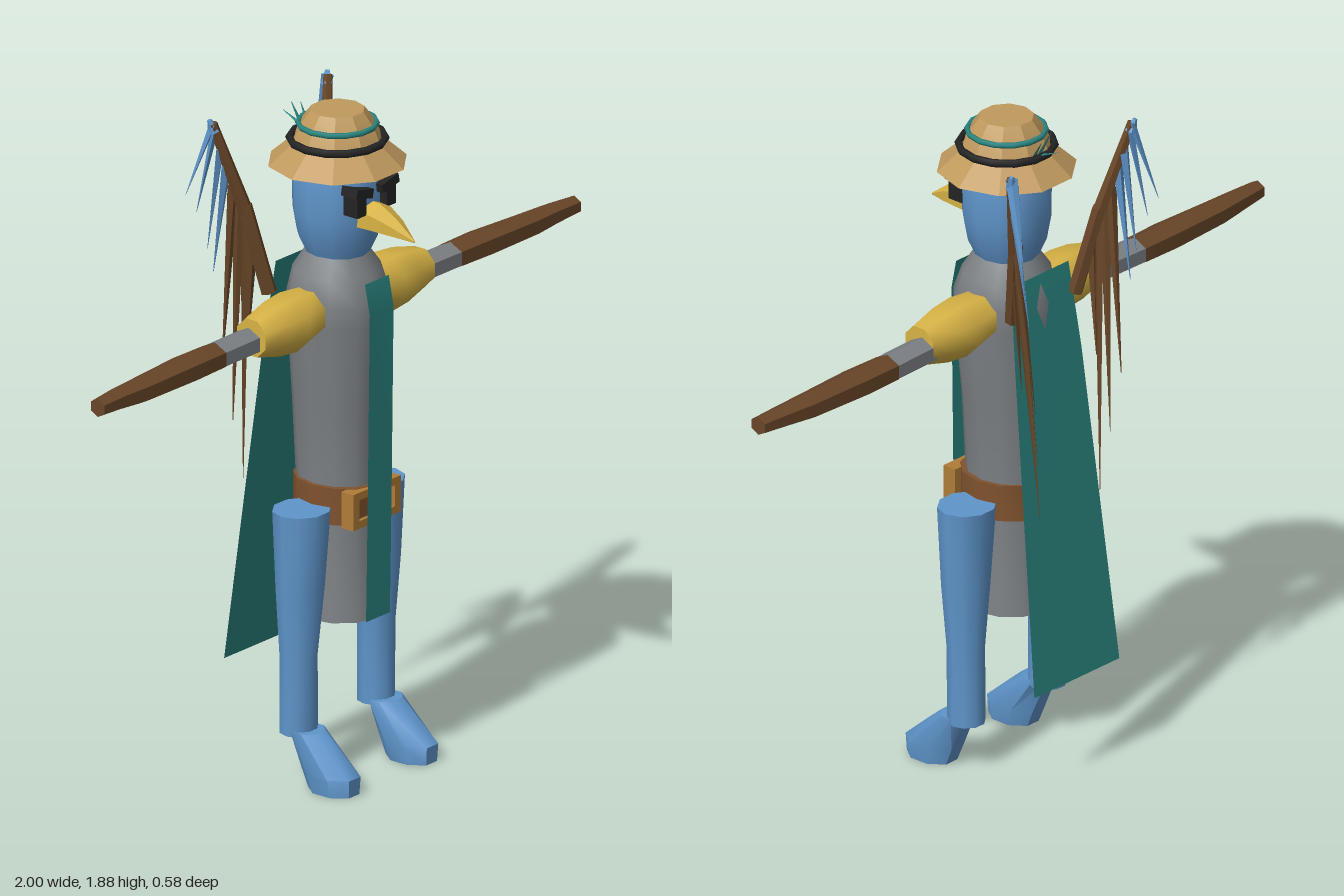
import * as THREE from 'three';
import { toCreasedNormals } from 'three/addons/utils/BufferGeometryUtils.js';

const paint = (name, color, side = THREE.FrontSide) => {
  const m = new THREE.MeshStandardMaterial({ color, side });
  m.name = name;
  return m;
};

// Closed loft of elliptical rings [pos, c1, c2, r1, r2] along y (x, z radii) or along x (y, z radii), s mirrors x
function loft(rings, n, { axis = 'y', s = 1, crease = 0.9, phase = 0 } = {}) {
  const at = (r, j) => {
    const a = phase + (j / n) * Math.PI * 2;
    const p = r[1] + r[3] * Math.cos(a), q = r[2] + r[4] * Math.sin(a);
    return axis === 'y' ? [s * p, r[0], q] : [s * r[0], p, q];
  };
  const mid = (r) => (axis === 'y' ? [s * r[1], r[0], r[2]] : [s * r[0], r[1], r[2]]);
  const flip = (axis === 'x') !== (s < 0);
  const pos = [];
  const tri = (a, b, c) => (flip ? pos.push(...a, ...c, ...b) : pos.push(...a, ...b, ...c));
  const last = rings[rings.length - 1];
  for (let j = 0; j < n; j++) {
    for (let i = 0; i < rings.length - 1; i++) {
      const a = at(rings[i], j), b = at(rings[i], j + 1);
      const c = at(rings[i + 1], j + 1), d = at(rings[i + 1], j);
      tri(a, d, c);
      tri(a, c, b);
    }
    tri(mid(rings[0]), at(rings[0], j), at(rings[0], j + 1));
    tri(mid(last), at(last, j + 1), at(last, j));
  }
  const g = new THREE.BufferGeometry();
  g.setAttribute('position', new THREE.Float32BufferAttribute(pos, 3));
  return toCreasedNormals(g, crease);
}

// Cloth sheet through rows [y, z, halfWidth]
function sheet(rows) {
  const pos = [], idx = [];
  rows.forEach(([y, z, w], i) => {
    pos.push(-w, y, z, w, y, z);
    if (i) idx.push(2 * i - 2, 2 * i, 2 * i + 1, 2 * i - 2, 2 * i + 1, 2 * i - 1);
  });
  const g = new THREE.BufferGeometry();
  g.setAttribute('position', new THREE.Float32BufferAttribute(pos, 3));
  g.setIndex(idx);
  g.computeVertexNormals();
  return g;
}

// Tapered rod or spike between two points
function rod(a, b, r0, r1, sides, flat = 1) {
  const A = new THREE.Vector3(...a), B = new THREE.Vector3(...b);
  const d = B.clone().sub(A);
  const g = new THREE.CylinderGeometry(r1, r0, d.length(), sides).scale(1, 1, flat);
  g.applyQuaternion(new THREE.Quaternion().setFromUnitVectors(new THREE.Vector3(0, 1, 0), d.clone().normalize()));
  g.translate(...A.add(B).multiplyScalar(0.5).toArray());
  return toCreasedNormals(g, 0.3);
}

export function createModel() {
  const blue = paint('blue feathers', 0x5f95cb);
  const gray = paint('gray cloth', 0x7c8084);
  const teal = paint('teal cloth', 0x2a8580, THREE.DoubleSide);
  const yellow = paint('yellow', 0xd8b446);
  const brown = paint('dark brown', 0x684628);
  const leather = paint('belt leather', 0x80522e);
  const tan = paint('straw', 0xc09a5e);
  const black = paint('black', 0x242424);
  const gold = paint('buckle bronze', 0xb07c38);

  const root = new THREE.Group();
  root.name = 'birdWarrior';
  const add = (name, geo, mat, parent = root) => {
    const m = new THREE.Mesh(geo, mat);
    m.name = name;
    parent.add(m);
    return m;
  };
  const group = (name) => {
    const g = new THREE.Group();
    g.name = name;
    root.add(g);
    return g;
  };
  const Z = 0.02;

  // Tunic and head
  add('tunic', loft([
    [0.45, 0, Z, 0.122, 0.135], [0.62, 0, Z, 0.105, 0.125], [0.8, 0, Z, 0.098, 0.12], [1.05, 0, Z, 0.113, 0.13],
    [1.3, 0, 0.025, 0.14, 0.145], [1.36, 0, 0.025, 0.142, 0.143], [1.43, 0, Z, 0.125, 0.122], [1.485, 0, Z, 0.085, 0.088],
  ], 12), gray);
  add('head', loft([
    [1.47, 0, Z, 0.08, 0.085], [1.53, 0, Z, 0.108, 0.112], [1.6, 0, Z, 0.121, 0.124],
    [1.7, 0, Z, 0.122, 0.126], [1.75, 0, Z, 0.112, 0.115],
  ], 12), blue);

  // Beak, hooked down to its tip
  add('beak', loft([
    [0.11, 0, 1.606, 0.058, 0.046], [0.17, 0, 1.604, 0.052, 0.042],
    [0.225, 0, 1.59, 0.034, 0.028], [0.29, 0, 1.566, 0.002, 0.003],
  ], 6, { crease: 0.3, phase: Math.PI / 2 }).applyMatrix4(
    new THREE.Matrix4().set(-1, 0, 0, 0, 0, 0, 1, 0, 0, 1, 0, 0, 0, 0, 0, 1)), yellow);

  // Eyes with angry brows
  const face = group('face');
  for (const s of [-1, 1]) {
    add('eye', new THREE.BoxGeometry(0.038, 0.07, 0.05).translate(s * 0.062, 1.658, 0.133), black, face);
    const brow = add('brow', new THREE.BoxGeometry(0.07, 0.026, 0.055), black, face);
    brow.position.set(s * 0.054, 1.688, 0.135);
    brow.rotation.z = s * 0.22;
  }

  // Hat with two bands and a tuft at the back
  const hat = group('hat');
  add('strawHat', loft([
    [1.735, 0, Z, 0.192, 0.192], [1.795, 0, Z, 0.125, 0.125],
    [1.845, 0, Z, 0.105, 0.105], [1.885, 0, Z, 0.075, 0.075],
  ], 10, { crease: 0.3 }), tan, hat);
  for (const [name, y, r, t, mat] of [['lowerBand', 1.802, 0.13, 0.011, black], ['upperBand', 1.845, 0.107, 0.008, teal]]) {
    add(name, new THREE.TorusGeometry(r, t, 6, 14).rotateX(Math.PI / 2).translate(0, y, Z), mat, hat);
  }
  for (const [x, y, z] of [[0, 1.835, -0.17], [0.025, 1.86, -0.13], [-0.02, 1.875, -0.125]]) {
    add('hatFeather', rod([x * 0.5, 1.8, -0.09], [x, y, z], 0.01, 0.001, 4, 0.4), teal, hat);
  }

  // Belt and buckle frame
  add('belt', loft([[0.73, 0, 0.025, 0.113, 0.131], [0.835, 0, 0.025, 0.113, 0.131]], 12), leather);
  const frame = new THREE.Shape([[-0.1, -0.052], [0.1, -0.052], [0.1, 0.052], [-0.1, 0.052]].map((p) => new THREE.Vector2(...p)));
  frame.holes.push(new THREE.Path([[-0.075, -0.03], [-0.075, 0.03], [0.075, 0.03], [0.075, -0.03]].map((p) => new THREE.Vector2(...p))));
  add('buckle', new THREE.ExtrudeGeometry(frame, { depth: 0.042, bevelEnabled: false }).translate(0, 0.782, 0.117), gold);
  add('buckleBack', new THREE.BoxGeometry(0.15, 0.06, 0.025).translate(0, 0.782, 0.135), leather);

  // Front tabard and back cape
  add('tabard', sheet([[1.425, 0.158, 0.05], [1.34, 0.175, 0.05], [0.8, 0.168, 0.05], [0.455, 0.162, 0.05]]), teal);
  add('cape', sheet([[1.45, -0.1, 0.115], [1.2, -0.132, 0.132], [0.29, -0.235, 0.17]]), teal);

  for (const s of [-1, 1]) {
    const side = s > 0 ? 'left' : 'right';
    // Arm: sleeve, forearm, long glove
    const arm = group(side + 'Arm');
    const alongX = { axis: 'x', s, phase: Math.PI / 8 };
    add('sleeve', loft([
      [0.12, 1.335, 0.015, 0.068, 0.072], [0.2, 1.327, 0.015, 0.084, 0.082], [0.27, 1.327, 0.015, 0.078, 0.073], [0.355, 1.327, 0.015, 0.056, 0.054],
    ], 8, alongX), yellow, arm);
    add('forearm', loft([[0.34, 1.314, 0.005, 0.04, 0.046], [0.5, 1.312, 0.003, 0.039, 0.046]], 6, { axis: 'x', s, crease: 0.4 }), gray, arm);
    add('glove', loft([
      [0.495, 1.312, 0.003, 0.04, 0.047], [0.62, 1.312, 0.004, 0.042, 0.05], [0.82, 1.31, 0.008, 0.038, 0.042],
      [0.9, 1.313, 0.01, 0.033, 0.036], [1.0, 1.314, 0.015, 0.026, 0.028],
    ], 6, { axis: 'x', s, crease: 0.4 }), brown, arm);

    // Leg and slanted foot
    const leg = group(side + 'Leg');
    add('leg', loft([
      [0.14, 0.162, Z, 0.053, 0.053], [0.36, 0.163, Z, 0.052, 0.054], [0.55, 0.16, 0.023, 0.07, 0.066], [0.78, 0.155, 0.024, 0.085, 0.078],
    ], 10, { s }), blue, leg);
    add('foot', loft([
      [0, 0.163, 0.143, 0.058, 0.077], [0.05, 0.163, 0.134, 0.063, 0.09], [0.155, 0.163, 0.05, 0.052, 0.05],
    ], 8, { s, crease: 0.8, phase: Math.PI / 8 }), blue, leg);

    // Wing: bone with hanging feathers, blue near the tip and brown below
    const wing = group(side + 'Wing');
    const m = ([x, y, z]) => [s * x, y, z];
    add('wingBoneLower', rod(m([0.125, 1.36, -0.115]), m([0.168, 1.61, -0.165]), 0.022, 0.021, 6), brown, wing);
    add('wingBoneUpper', rod(m([0.165, 1.59, -0.162]), m([0.242, 1.855, -0.215]), 0.021, 0.013, 6), brown, wing);
    const feathers = [
      [blue, [0.24, 1.855, -0.215], [0.272, 1.64, -0.285]],
      [blue, [0.235, 1.83, -0.215], [0.25, 1.59, -0.265]],
      [blue, [0.222, 1.78, -0.205], [0.222, 1.48, -0.25]],
      [blue, [0.208, 1.73, -0.195], [0.203, 1.41, -0.245]],
      [brown, [0.19, 1.67, -0.185], [0.172, 1.14, -0.24]],
      [brown, [0.178, 1.62, -0.175], [0.145, 0.97, -0.225]],
      [brown, [0.165, 1.58, -0.165], [0.12, 0.8, -0.21]],
      [brown, [0.155, 1.5, -0.15], [0.15, 1.18, -0.17]],
    ];
    for (const [mat, a, b] of feathers) add('feather', rod(m(a), m(b), 0.017, 0.001, 4, 0.6), mat, wing);
    add('wingTip', rod(m([0.238, 1.83, -0.213]), m([0.248, 1.865, -0.222]), 0.018, 0.006, 5), blue, wing);
  }
  return root;
}
